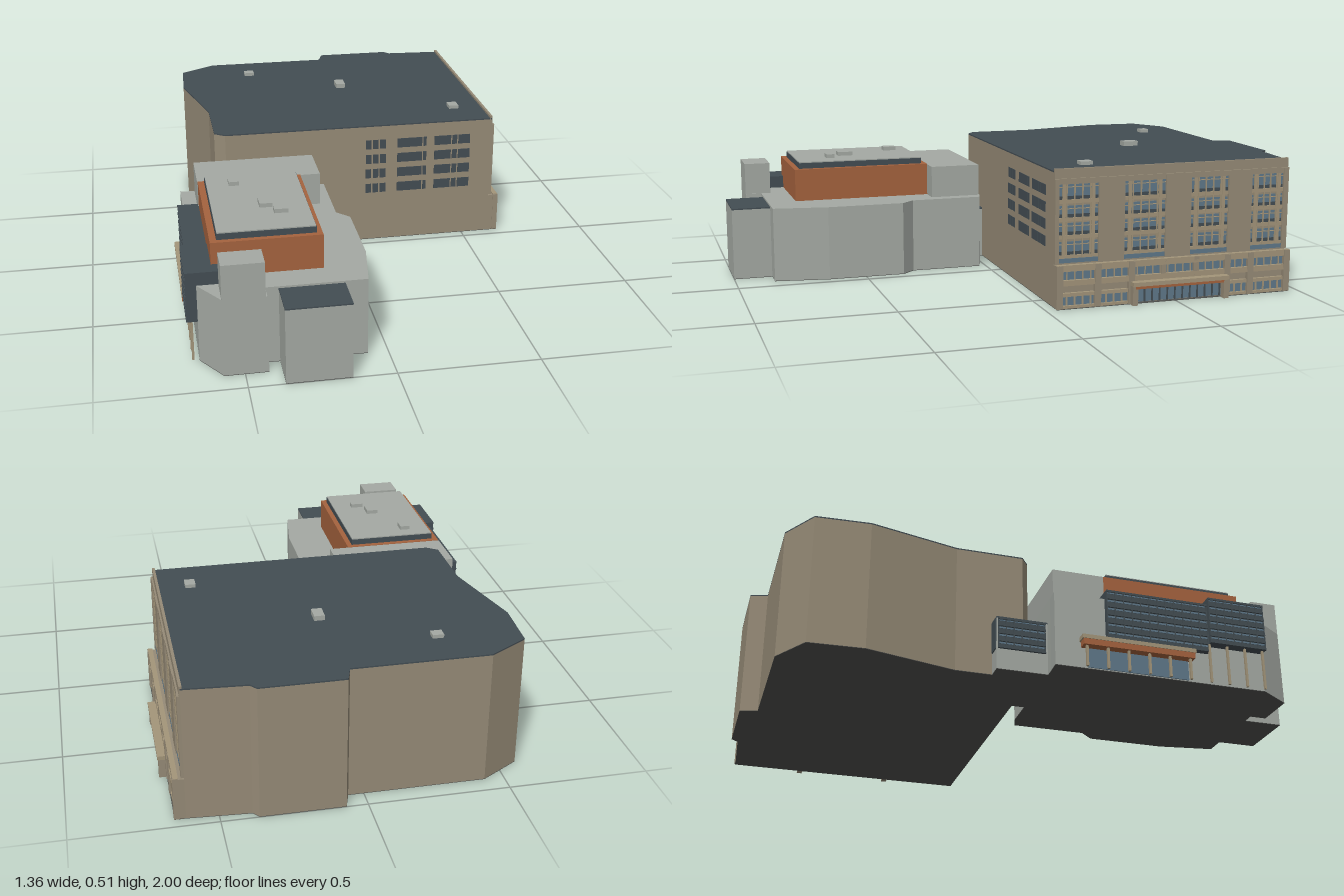
import * as THREE from 'three';

const mat = (name, color) => {
  const m = new THREE.MeshStandardMaterial({ color });
  m.name = name;
  return m;
};

export function createModel() {
  const tan = mat('tan masonry', 0x968b77);
  const trim = mat('light tan trim', 0xa3957a);
  const grey = mat('pale grey concrete', 0xa4a9a3);
  const slate = mat('slate roof', 0x434d53);
  const orange = mat('terracotta cladding', 0xa5633e);
  const glass = mat('blue glass', 0x5f7889);
  const base = mat('foundation', 0x50514e);

  const model = new THREE.Group();
  const group = (name) => {
    const g = new THREE.Group();
    g.name = name;
    model.add(g);
    return g;
  };
  // Box given by its limits on each axis
  const box = (g, name, m, x0, x1, y0, y1, z0, z1) => {
    const b = new THREE.Mesh(new THREE.BoxGeometry(x1 - x0, y1 - y0, z1 - z0), m);
    b.position.set((x0 + x1) / 2, (y0 + y1) / 2, (z0 + z1) / 2);
    b.name = name;
    g.add(b);
  };
  // Upright prism from an outline of [x, z] points
  const prism = (g, name, m, outline, y0, y1) => {
    const shape = new THREE.Shape(outline.map(([x, z]) => new THREE.Vector2(x, -z)));
    const geo = new THREE.ExtrudeGeometry(shape, { depth: y1 - y0, bevelEnabled: false });
    geo.rotateX(-Math.PI / 2).translate(0, y0, 0);
    const p = new THREE.Mesh(geo, m);
    p.name = name;
    g.add(p);
  };

  // ---- Main building ----
  const main = group('mainBuilding');
  const mainPlan = [
    [0.61, -0.04], [0.61, -0.96], [0.39, -0.975], [0.37, -1], [0.075, -1], [0.055, -0.935],
    [-0.43, -0.935], [-0.57, -0.85], [-0.58, -0.65], [-0.5, -0.32], [-0.5, -0.07], [-0.46, -0.04],
  ];
  prism(main, 'mainFoundation', base, mainPlan, 0, 0.002);
  prism(main, 'mainWalls', tan, mainPlan, 0.002, 0.487);
  prism(main, 'mainRoof', slate, mainPlan, 0.487, 0.492);
  box(main, 'roofUnit', grey, -0.305, -0.265, 0.49, 0.505, -0.79, -0.755);
  box(main, 'roofUnit', grey, 0.062, 0.1, 0.49, 0.51, -0.58, -0.52);
  box(main, 'roofUnit', grey, 0.47, 0.508, 0.49, 0.505, -0.225, -0.178);

  // Front windows: four rows of grouped panes
  const panes = [
    [0.096, 0.118], [0.125, 0.147], [0.153, 0.177], [0.224, 0.325], [0.33, 0.343],
    [0.376, 0.444], [0.449, 0.469], [0.474, 0.522],
  ];
  for (const y of [0.206, 0.269, 0.331, 0.393])
    for (const [x0, x1] of panes) box(main, 'frontWindow', slate, x0, x1, y, y + 0.038, -0.042, -0.038);

  // ---- Side facade with four glazed bays ----
  const facade = group('sideFacade');
  const bays = [[-0.055, -0.205], [-0.305, -0.465], [-0.565, -0.715], [-0.81, -0.94]];
  const rows = [[0.19, 0.238], [0.262, 0.305], [0.325, 0.367], [0.39, 0.445]];
  box(facade, 'parapet', tan, 0.603, 0.613, 0.46, 0.5, -0.96, -0.04);
  let edge = -0.04;
  for (const [z1, z0] of [...bays, [-0.96, -0.96]]) {
    box(facade, 'pier', tan, 0.609, 0.621, 0.16, 0.465, z1, edge);
    edge = z0;
  }
  for (const [z1, z0] of bays) {
    const w = z1 - z0;
    box(facade, 'bayHead', tan, 0.609, 0.619, 0.445, 0.465, z0, z1);
    for (const [y0, y1] of rows) {
      box(facade, 'bayGlass', glass, 0.609, 0.612, y0, y1, z0, z1);
      box(facade, 'lowerPane', slate, 0.611, 0.613, y0, y0 + 0.012, z0, z1);
      box(facade, 'spandrel', trim, 0.609, 0.617, y0 - 0.014, y0, z0, z1);
      box(facade, 'transom', trim, 0.611, 0.615, y1 - 0.012, y1 - 0.009, z0, z1);
    }
    for (const t of [0.13, 0.2, 0.4, 0.6, 0.8, 0.87]) {
      const thick = t < 0.15 || t > 0.85 ? 0.006 : 0.002;
      box(facade, 'mullion', trim, 0.61, 0.618, 0.18, 0.45, z0 + w * t - thick, z0 + w * t + thick);
    }
  }

  // ---- Podium and entrance ----
  const podium = group('podium');
  box(podium, 'podiumWall', tan, 0.605, 0.633, 0.002, 0.155, -0.96, -0.04);
  box(podium, 'podiumFoundation', base, 0.605, 0.648, 0, 0.002, -0.96, -0.04);
  for (const [y0, y1] of [[0.002, 0.012], [0.045, 0.058], [0.085, 0.105], [0.137, 0.16]])
    if (y0 > 0.07) box(podium, 'band', trim, 0.63, 0.648, y0, y1, -0.96, -0.04);
    else {
      box(podium, 'band', trim, 0.63, 0.645, y0, y1, -0.33, -0.04);
      box(podium, 'band', trim, 0.63, 0.645, y0, y1, -0.96, -0.7);
    }
  box(podium, 'clerestoryGlass', glass, 0.61, 0.618, 0.162, 0.178, -0.95, -0.05);
  box(podium, 'upperGlass', glass, 0.63, 0.636, 0.105, 0.137, -0.95, -0.05);
  box(podium, 'groundGlass', glass, 0.63, 0.636, 0.012, 0.045, -0.95, -0.05);
  box(podium, 'entranceGlass', glass, 0.63, 0.637, 0.004, 0.066, -0.69, -0.34);
  const piers = [-0.05, -0.195, -0.325, -0.705, -0.8, -0.95];
  for (const z of piers) box(podium, 'podiumPier', tan, 0.63, 0.65, 0.002, 0.158, z - 0.012, z + 0.012);
  for (const z of [-0.45, -0.58]) box(podium, 'upperPier', tan, 0.63, 0.648, 0.09, 0.158, z - 0.01, z + 0.01);
  for (let i = 1; i < 30; i++) {
    const z = -0.05 - i * 0.03;
    box(podium, 'upperMullion', trim, 0.635, 0.64, 0.105, 0.137, z - 0.002, z + 0.002);
    const inEntry = z < -0.33 && z > -0.7;
    box(podium, 'groundMullion', inEntry ? slate : trim, 0.635, 0.64, 0.004, inEntry ? 0.066 : 0.045, z - 0.003, z + 0.003);
  }
  box(podium, 'canopy', trim, 0.645, 0.677, 0.07, 0.085, -0.7, -0.32);
  box(podium, 'canopyFascia', orange, 0.645, 0.674, 0.06, 0.07, -0.69, -0.33);
  for (const z of [-0.33, -0.69]) box(podium, 'canopyPier', tan, 0.648, 0.674, 0, 0.07, z - 0.01, z + 0.01);

  // ---- Smaller grey building ----
  const annex = group('annex');
  const annexPlan = [
    [-0.645, 0], [-0.59, 0.003], [-0.13, 0.01], [-0.085, 0.025], [-0.085, 0.3], [-0.04, 0.35],
    [-0.04, 0.645], [-0.072, 0.853], [-0.42, 0.853], [-0.42, 0.915], [-0.57, 0.915], [-0.643, 0.8],
  ];
  prism(annex, 'annexFoundation', base, annexPlan, 0, 0.002);
  prism(annex, 'annexWalls', grey, annexPlan, 0.002, 0.285);
  box(annex, 'rearUpperBlock', grey, -0.59, -0.13, 0.28, 0.408, 0.015, 0.21);
  box(annex, 'cornerTower', grey, -0.57, -0.425, 0.28, 0.408, 0.815, 0.915);
  box(annex, 'frontBlock', grey, -0.375, -0.15, 0.002, 0.273, 0.84, 1);
  box(annex, 'frontBlockRoof', slate, -0.375, -0.15, 0.273, 0.278, 0.84, 1);
  box(annex, 'frontBlockFoundation', base, -0.375, -0.15, 0, 0.002, 0.85, 1);

  // Terracotta hall with a slate-edged roof
  box(annex, 'hall', orange, -0.588, -0.205, 0.28, 0.41, 0.21, 0.745);
  box(annex, 'hallRoofEdge', slate, -0.565, -0.225, 0.41, 0.432, 0.23, 0.725);
  box(annex, 'hallRoof', grey, -0.563, -0.227, 0.432, 0.436, 0.232, 0.723);
  for (const [x, z, w, d] of [[-0.465, 0.31, 0.038, 0.05], [-0.375, 0.515, 0.045, 0.06], [-0.328, 0.585, 0.05, 0.032]])
    box(annex, 'hallRoofUnit', grey, x - w / 2, x + w / 2, 0.435, 0.451, z - d / 2, z + d / 2);

  // ---- Curtain walls on the right side ----
  const curtain = group('curtainWalls');
  const glazing = (x0, x1, y0, y1, z0, z1, nRows, nCols) => {
    box(curtain, 'glazedBox', slate, x0 + 0.006, x1, y0, y1, z0, z1);
    const h = (y1 - y0) / nRows, w = (z1 - z0) / nCols;
    for (let r = 0; r <= nRows; r++) {
      const y = Math.min(Math.max(y0 + r * h, y0 + 0.004), y1 - 0.004);
      box(curtain, 'ledge', slate, x0, x0 + 0.008, y - 0.004, y + 0.004, z0, z1);
    }
    for (let c = 0; c <= nCols; c++) {
      const z = Math.min(Math.max(z0 + c * w, z0 + 0.002), z1 - 0.002);
      box(curtain, 'fin', slate, x0 + 0.002, x0 + 0.008, y0, y1, z - 0.002, z + 0.002);
    }
    for (let r = 0; r < nRows; r++)
      box(curtain, 'glassStrip', glass, x0 + 0.004, x0 + 0.007, y0 + (r + 0.6) * h, y0 + (r + 0.8) * h, z0 + 0.003, z1 - 0.003);
  };
  glazing(-0.667, -0.585, 0.12, 0.312, 0.19, 0.58, 6, 12);
  glazing(-0.682, -0.545, 0.15, 0.332, 0.58, 0.8, 6, 7);

  // Side canopy on slender posts
  const porch = group('sideCanopy');
  box(porch, 'canopySlab', trim, -0.682, -0.64, 0.1, 0.115, 0.09, 0.52);
  box(porch, 'canopyFascia', orange, -0.68, -0.64, 0.078, 0.1, 0.095, 0.515);
  box(porch, 'entranceGlass', glass, -0.648, -0.642, 0.005, 0.078, 0.12, 0.5);
  for (let i = 0; i < 6; i++) {
    const z = 0.11 + i * 0.078;
    box(porch, 'post', trim, -0.672, -0.662, 0, 0.08, z - 0.004, z + 0.004);
  }
  for (const z of [0.58, 0.65, 0.72, 0.79])
    box(porch, 'bayPost', trim, -0.668, -0.66, 0, 0.15, z - 0.004, z + 0.004);

  // ---- Link between the buildings ----
  const link = group('link');
  box(link, 'linkFoundation', base, -0.555, -0.26, 0, 0.002, -0.185, 0.01);
  box(link, 'linkWalls', grey, -0.555, -0.26, 0.002, 0.2, -0.185, 0.01);
  box(link, 'linkRoof', slate, -0.555, -0.26, 0.2, 0.206, -0.185, 0.01);
  glazing(-0.563, -0.553, 0.08, 0.2, -0.18, -0.005, 4, 6);
  box(link, 'linkBackGlass', slate, -0.55, -0.505, 0.08, 0.2, -0.189, -0.183);

  return model;
}
